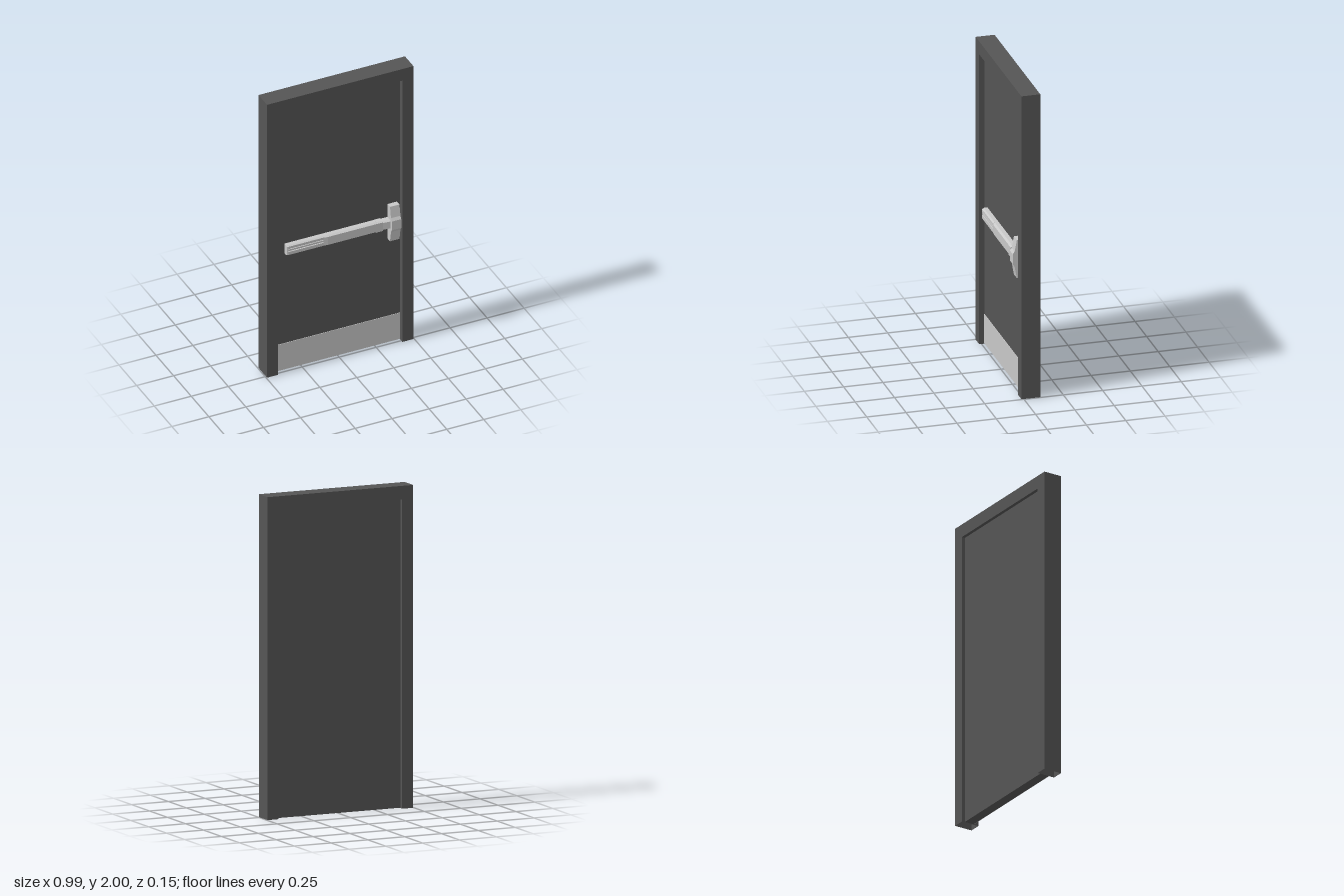
import * as THREE from 'three';

const charcoal = new THREE.MeshStandardMaterial({ color: 0x555555, side: THREE.DoubleSide });
charcoal.name = 'charcoal paint';
const steel = new THREE.MeshStandardMaterial({ color: 0xc8c8c8 });
steel.name = 'brushed steel';

// Faceted skin through a list of matching rings of [x, y, z] points.
function loft(rings, capped) {
  const pos = [];
  const tri = (a, b, c) => pos.push(...a, ...b, ...c);
  const n = rings[0].length;
  for (let i = 0; i < rings.length - 1; i++) {
    for (let j = 0; j < n; j++) {
      const k = (j + 1) % n;
      tri(rings[i][j], rings[i][k], rings[i + 1][k]);
      tri(rings[i][j], rings[i + 1][k], rings[i + 1][j]);
    }
  }
  if (capped) {
    const first = rings[0], last = rings[rings.length - 1];
    for (let j = 1; j < n - 1; j++) {
      tri(first[0], first[j + 1], first[j]);
      tri(last[0], last[j], last[j + 1]);
    }
  }
  const geo = new THREE.BufferGeometry();
  geo.setAttribute('position', new THREE.Float32BufferAttribute(pos, 3));
  geo.computeVertexNormals();
  return geo;
}

// Extrudes a [y, z] outline from x0 to x1.
function extrudeX(outline, x0, x1) {
  const shape = new THREE.Shape(outline.map(([y, z]) => new THREE.Vector2(-z, y)));
  const geo = new THREE.ExtrudeGeometry(shape, { depth: x1 - x0, bevelEnabled: false });
  return geo.rotateY(Math.PI / 2).translate(x0, 0, 0);
}

// Box given by its limits.
function box(x0, x1, y0, y1, z0, z1) {
  return new THREE.BoxGeometry(x1 - x0, y1 - y0, z1 - z0)
    .translate((x0 + x1) / 2, (y0 + y1) / 2, (z0 + z1) / 2);
}

export function createModel() {
  const model = new THREE.Group();
  model.name = 'door';
  const add = (name, geo, mat, parent = model) => {
    const mesh = new THREE.Mesh(geo, mat);
    mesh.name = name;
    parent.add(mesh);
  };

  const front = 0.015, back = -0.105;   // frame depth
  const face = -0.02;                   // front of the door leaf

  // Hollow frame: one section swept up, across and down, open at the feet
  const path = [
    [-0.495, 0, -0.42, 0], [-0.495, 2, -0.42, 1.915],
    [0.495, 2, 0.42, 1.915], [0.495, 0, 0.42, 0],
  ];
  add('frame', loft(path.map(([ox, oy, ix, iy]) => [
    [ox, oy, back], [ox, oy, front], [ix, iy, front], [ix, iy, back],
  ]), false), charcoal);

  // Door leaf and kick plate
  add('doorLeaf', box(-0.42, 0.42, 0.003, 1.915, -0.083, face), charcoal);
  add('kickPlate', box(-0.419, 0.419, 0.004, 0.195, face, face + 0.003), steel);

  // Exit device
  const device = new THREE.Group();
  device.name = 'exitDevice';
  model.add(device);
  const mid = 0.888;

  // Bevelled bar section at x, with half height h and front face at z
  const section = (x, h, z, bevel = 0.007) => [
    [mid - h, face], [mid + h, face], [mid + h, z - bevel * 2],
    [mid + h - bevel, z], [mid - h + bevel, z], [mid - h, z - bevel * 2],
  ].map(([y, zz]) => [x, y, zz]);

  // Grooved rail, with a plain end cap
  const rail = [
    [0.852, face], [0.924, face], [0.924, 0.005], [0.918, 0.016], [0.902, 0.016],
    [0.902, 0.008], [0.896, 0.008], [0.896, 0.014], [0.886, 0.014],
    [0.886, 0.008], [0.880, 0.008], [0.880, 0.016], [0.858, 0.016], [0.852, 0.005],
  ];
  add('rail', extrudeX(rail, -0.35, -0.113), steel, device);
  add('railEndCap', loft([section(-0.36, 0.036, 0.014), section(-0.35, 0.036, 0.017)], true), steel, device);

  // Push bar with a sloped end, collar and neck up to the latch head
  add('pushBar', loft([
    section(-0.113, 0.036, 0.016), section(-0.085, 0.036, 0.02), section(0.245, 0.036, 0.02),
  ], true), steel, device);
  add('collar', loft([section(0.245, 0.037, 0.023, 0.006), section(0.285, 0.037, 0.023, 0.006)], true), steel, device);
  add('neck', loft([section(0.285, 0.032, 0.02), section(0.336, 0.032, 0.026)], true), steel, device);

  // Latch head, stepping out to a flat middle
  add('latchHead', extrudeX([
    [0.762, face], [1.014, face], [1.014, 0.016], [0.94, 0.03],
    [0.922, 0.042], [0.858, 0.042], [0.838, 0.03], [0.762, 0.016],
  ], 0.336, 0.4), steel, device);

  return model;
}
